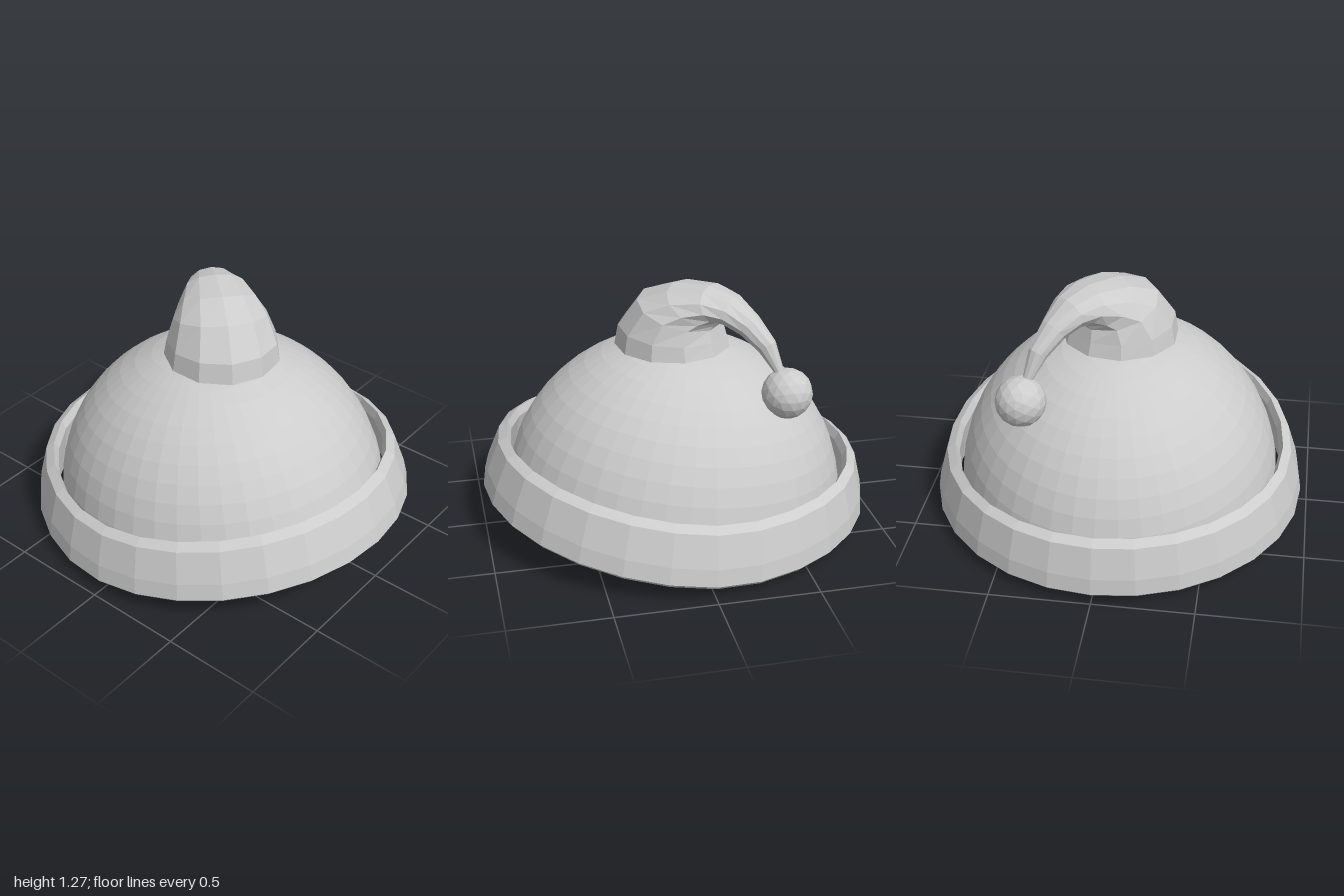
import * as THREE from 'three';

const wool = new THREE.MeshStandardMaterial({ color: 0xcccccc, flatShading: true, side: THREE.DoubleSide });
wool.name = 'pale grey wool';

// Skin over rows of points; each row is a closed loop, rows may close on themselves
function loft(rows, closeRows) {
  const n = rows[0].length, m = rows.length, index = [];
  for (let i = 0; i < (closeRows ? m : m - 1); i++) {
    for (let j = 0; j < n; j++) {
      const k = (j + 1) % n, r = ((i + 1) % m) * n;
      const a = i * n + j, b = i * n + k, c = r + k, d = r + j;
      index.push(a, b, c, a, c, d);
    }
  }
  const g = new THREE.BufferGeometry();
  g.setAttribute('position', new THREE.Float32BufferAttribute(rows.flat(2), 3));
  g.setIndex(index);
  g.computeVertexNormals();
  return g;
}

function domeGeometry() {
  const arc = (r, from, to) => Array.from({ length: 15 }, (_, i) => {
    const a = (from + (to - from) * i / 14) * Math.PI / 2;
    return new THREE.Vector2(Math.max(0, r * Math.cos(a)), r * Math.sin(a));
  });
  // outer shell, thin rim, inner shell
  return new THREE.LatheGeometry([...arc(0.825, 1, 0), ...arc(0.85, 0, 1)], 44);
}

function bandGeometry() {
  // [radius, height fraction] going down the outside and up the inside
  const section = [[0.89, 1], [0.935, 0.9], [0.985, 0.35], [1, 0.06],
    [0.985, 0], [0.92, 0], [0.9, 0.1], [0.87, 0.85]];
  const rows = [];
  for (let i = 0; i < 28; i++) {
    const phi = i / 28 * Math.PI * 2, s = Math.sin(phi), c = Math.cos(phi);
    // the band sweeps upward toward the front
    const lift = Math.pow(Math.max(0, (c + 0.15) / 1.15), 1.3);
    const low = 0.042 + 0.17 * lift, high = 0.33 + 0.16 * lift;
    rows.push(section.map(([r, h]) => [0.965 * r * s, low + (high - low) * h, r * c - 0.025 * h]));
  }
  return loft(rows, true);
}

function capGeometry() {
  // [outer reach, outer y, inner reach, inner y, half width] along the drooping direction
  const rings = [
    [-0.3, 0.935, 0.29, 0.935, 0.295], [-0.28, 1.04, 0.27, 1.0, 0.28],
    [-0.17, 1.19, 0.25, 1.06, 0.24], [0, 1.255, 0.26, 1.08, 0.2],
    [0.2, 1.27, 0.28, 1.1, 0.155], [0.34, 1.235, 0.32, 1.09, 0.115],
    [0.46, 1.15, 0.39, 1.05, 0.075], [0.56, 1.04, 0.48, 0.98, 0.05],
    [0.615, 0.89, 0.58, 0.87, 0.025]];
  const dx = 0.656, dz = -0.754, sides = 11;
  return loft(rings.map(([uo, yo, ui, yi, w]) => Array.from({ length: sides }, (_, j) => {
    const a = j / sides * Math.PI * 2, t = Math.cos(a), v = w * Math.sin(a);
    const u = (uo + ui) / 2 + (uo - ui) / 2 * t;
    const y = (yo + yi) / 2 + (yo - yi) / 2 * t;
    return [u * dx - v * dz, y, u * dz + v * dx];
  })), false);
}

export function createModel() {
  const group = new THREE.Group();
  group.name = 'bobbleHat';
  const add = (name, geometry) => {
    const mesh = new THREE.Mesh(geometry, wool);
    mesh.name = name;
    group.add(mesh);
    return mesh;
  };

  // Hollow crown, tipped back slightly
  const dome = add('dome', domeGeometry());
  dome.scale.set(0.98, 1, 1.03);
  dome.rotation.x = -0.13;
  dome.position.y = 0.114;

  // Folded brim, drooping cap and its bobble
  add('brimBand', bandGeometry());
  add('droopingCap', capGeometry());
  add('bobble', new THREE.IcosahedronGeometry(0.127, 2)).position.set(0.417, 0.785, -0.48);

  return group;
}
